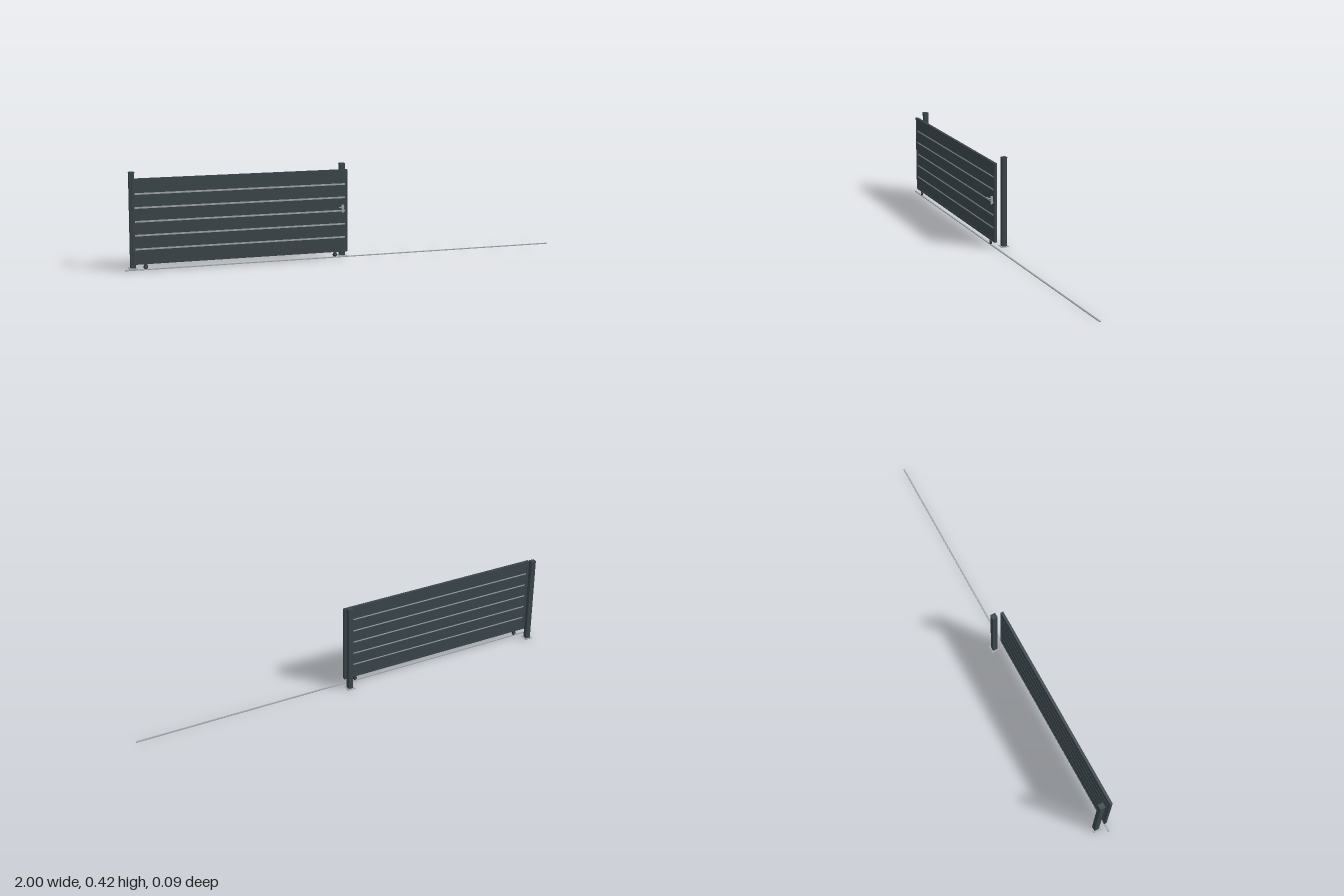
import * as THREE from 'three';

export function createModel() {
  const gate = new THREE.Group();
  gate.name = 'slidingGate';
  const paint = new THREE.MeshStandardMaterial({ color: 0x3b464b });
  paint.name = 'anthracitePaint';
  const metal = new THREE.MeshStandardMaterial({ color: 0xa3a9ad });
  metal.name = 'brushedMetal';
  const rubber = new THREE.MeshStandardMaterial({ color: 0x25292b });
  rubber.name = 'darkWheel';

  const add = (name, geometry, material, x, y, z) => {
    const mesh = new THREE.Mesh(geometry, material);
    mesh.name = name;
    mesh.position.set(x, y, z);
    gate.add(mesh);
    return mesh;
  };
  // Box given by its lower and upper corners
  const box = (name, material, [x0, y0, z0], [x1, y1, z1]) =>
    add(name, new THREE.BoxGeometry(x1 - x0, y1 - y0, z1 - z0), material,
      (x0 + x1) / 2, (y0 + y1) / 2, (z0 + z1) / 2);

  const left = -0.965, right = 0.001, bottom = 0.026, top = 0.395;
  const front = 0.025, back = 0.013, middle = 0.019;
  const bar = 0.01;

  // Ground rail
  box('groundRail', metal, [-1, 0, 0.0155], [1, 0.004, 0.0225]);

  // Leaf frame
  box('frameBottom', paint, [left, bottom, back], [right, bottom + bar, front]);
  box('frameTop', paint, [left, top - bar, back], [right, top, front]);
  for (const x of [left, right - bar]) {
    box('frameSide', paint, [x, bottom + bar, back], [x + bar, top - bar, front]);
  }

  // Horizontal slats with recessed light strips between them
  const count = 6, gap = 0.008;
  const y0 = bottom + bar, pitch = (top - bar - y0 + gap) / count;
  for (let i = 0; i < count; i++) {
    const y = y0 + i * pitch;
    box('slat', paint, [left + bar, y, 0.0145], [right - bar, y + pitch - gap, 0.0235]);
    if (i < count - 1) {
      box('slatStrip', metal, [left + bar, y + pitch - gap, 0.0175], [right - bar, y + pitch, 0.0205]);
    }
  }

  // Wheels under the leaf, each in a small fork
  for (const x of [-0.911, -0.056]) {
    const wheel = add('wheel', new THREE.CylinderGeometry(0.0095, 0.0095, 0.005, 24), rubber, x, 0.0135, middle);
    wheel.rotation.x = Math.PI / 2;
    for (const side of [-1, 1]) {
      add('wheelFork', new THREE.BoxGeometry(0.012, 0.014, 0.001), paint, x, 0.019, middle + side * 0.0032);
    }
    const axle = add('wheelAxle', new THREE.CylinderGeometry(0.002, 0.002, 0.008, 12), metal, x, 0.0135, middle);
    axle.rotation.x = Math.PI / 2;
  }

  // Guide posts behind the leaf, with foot plates and caps
  for (const x of [-0.957, -0.008]) {
    box('postFoot', metal, [x - 0.018, 0, -0.043], [x + 0.018, 0.003, -0.007]);
    box('post', paint, [x - 0.011, 0.003, -0.036], [x + 0.011, 0.415, -0.014]);
    box('postCap', paint, [x - 0.012, 0.415, -0.037], [x + 0.012, 0.418, -0.013]);
  }

  // Lock plate and lever handle
  box('lockPlate', metal, [-0.027, 0.203, front], [-0.017, 0.239, 0.033]);
  const spindle = add('handleSpindle', new THREE.CylinderGeometry(0.0022, 0.0022, 0.01, 12), metal, -0.022, 0.229, 0.038);
  spindle.rotation.x = Math.PI / 2;
  box('handleLever', metal, [-0.044, 0.227, 0.04], [-0.02, 0.231, 0.044]);

  return gate;
}
